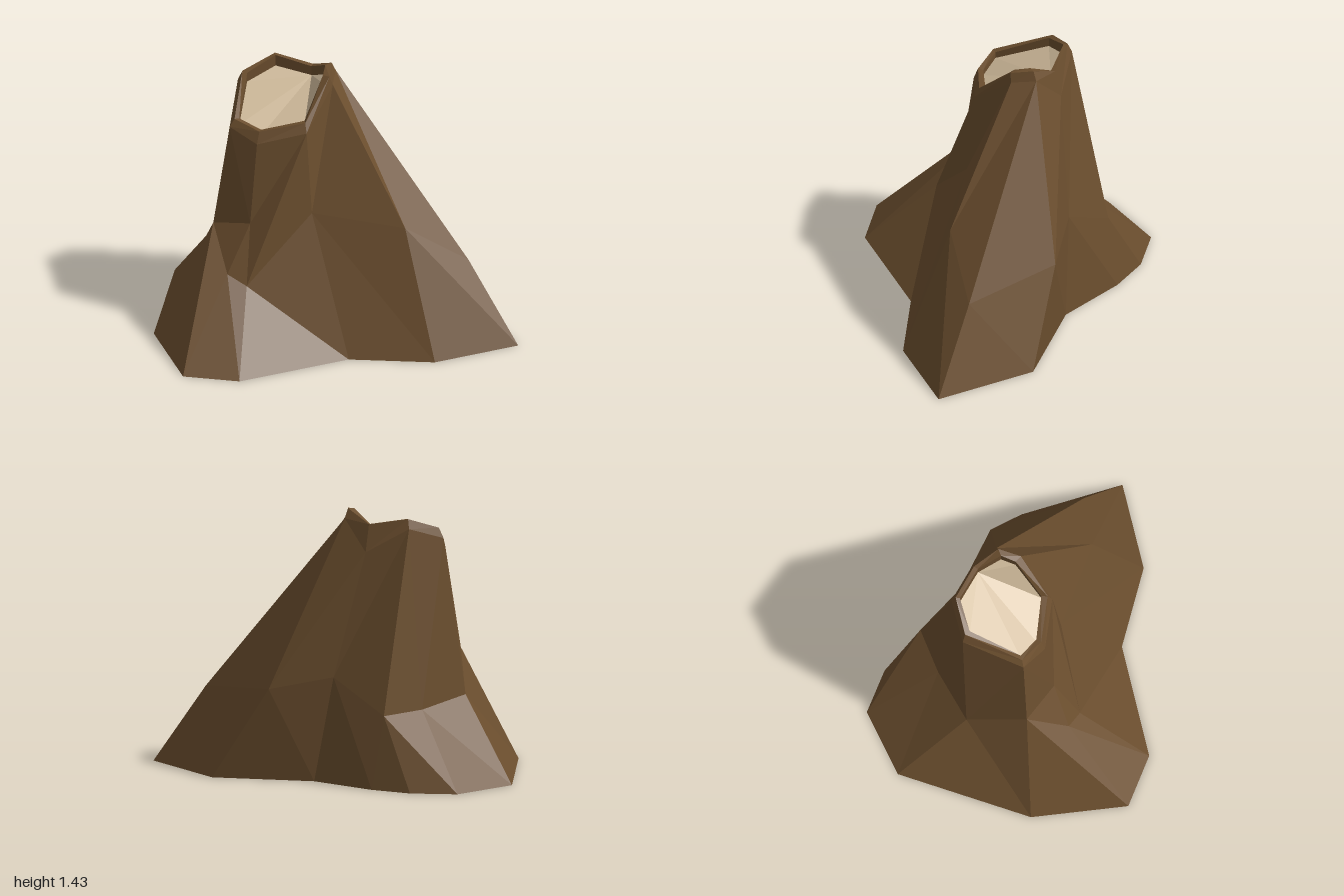
import * as THREE from 'three';

const bark = new THREE.MeshStandardMaterial({ color: 0x6b4e2e });
bark.name = 'bark brown';
const wood = new THREE.MeshStandardMaterial({ color: 0xcdb899 });
wood.name = 'cut wood';

// Flat-faceted mesh from a list of triangles (unshared corners, empty ones dropped)
function facetMesh(name, tris, material) {
  const pos = [];
  const same = (p, q) => p.every((v, i) => v === q[i]);
  for (const [a, b, c] of tris) {
    if (same(a, b) || same(b, c) || same(a, c)) continue;
    pos.push(...a, ...b, ...c);
  }
  const g = new THREE.BufferGeometry();
  g.setAttribute('position', new THREE.Float32BufferAttribute(pos, 3));
  g.computeVertexNormals();
  const m = new THREE.Mesh(g, material);
  m.name = name;
  return m;
}

// Triangles joining two closed rings; rising picks which way the quads are split
function band(lo, hi, rising) {
  return lo.flatMap((a0, i) => {
    const j = (i + 1) % lo.length;
    const a1 = hi[i], b0 = lo[j], b1 = hi[j];
    return rising ? [[a0, a1, b1], [a0, b1, b0]] : [[a0, a1, b0], [a1, b1, b0]];
  });
}

export function createModel() {
  const group = new THREE.Group();
  group.name = 'treeStump';

  // Shoulder below the broken rim
  const shoulder = [
    [-0.075, 1.38, -0.33], [-0.045, 1.36, -0.2], [-0.11, 1.17, 0.03], [-0.355, 1.11, 0.125],
    [-0.52, 1.17, 0.09], [-0.59, 1.28, -0.24], [-0.44, 1.35, -0.395], [-0.21, 1.22, -0.42],
  ];
  // Top edge of the rim
  const rim = [
    [-0.09, 1.43, -0.31], [-0.06, 1.41, -0.19], [-0.125, 1.22, 0.01], [-0.35, 1.175, 0.1],
    [-0.5, 1.21, 0.07], [-0.565, 1.335, -0.24], [-0.43, 1.4, -0.375], [-0.22, 1.365, -0.385],
  ];
  // Slanted cut inside the rim
  const cut = [
    [-0.115, 1.37, -0.28], [-0.1, 1.36, -0.2], [-0.14, 1.19, -0.02], [-0.35, 1.14, 0.07],
    [-0.48, 1.17, 0.05], [-0.535, 1.28, -0.23], [-0.42, 1.335, -0.355], [-0.22, 1.31, -0.36],
  ];
  const lip = cut.map(([x, , z], i) => [x, rim[i][1] - 0.003, z]);

  // Trunk columns: ground point, knee point, shoulder index, optional crease point
  const notch = [-0.37, 0.67, 0.19];
  const columns = [
    [[1, -0.18], [0.7, 0.43, -0.24], 0],
    [[0.65, 0.15], [0.42, 0.67, -0.03], 1],
    [[0.21, 0.27], [-0.07, 0.72, 0.06], 2],
    [[-0.25, 0.7], [-0.34, 0.37, 0.33], 2],
    [[-0.25, 0.7], [-0.34, 0.37, 0.33], 3, notch],
    [[-0.55, 0.745], [-0.45, 0.42, 0.325], 4, notch],
    [[-0.86, 0.33], [-0.59, 0.62, 0.15], 4],
    [[-1, -0.4], [-0.69, 0.43, -0.16], 5],
    [[-0.78, -0.715], [-0.52, 0.39, -0.43], 6],
    [[-0.53, -0.75], [-0.36, 0.385, -0.63], 6],
    [[-0.31, -0.7], [-0.36, 0.385, -0.63], 6],
    [[0.04, -0.54], [-0.06, 0.56, -0.52], 7],
    [[0.59, -0.56], [0.28, 0.49, -0.57], 0],
  ];
  const ground = columns.map(([g]) => [g[0], 0, g[1]]);
  const knee = columns.map((c) => c[1]);
  const crease = columns.map((c) => c[3] || c[1]);
  const top = columns.map((c) => shoulder[c[2]]);
  group.add(facetMesh('roots', band(ground, knee, true), bark));
  group.add(facetMesh('trunk', [...band(knee, crease, false), ...band(crease, top, false)], bark));

  // Broken rim with its inner wall
  const rimRings = [shoulder, rim, lip, cut];
  group.add(facetMesh('rim',
    [0, 1, 2].flatMap((i) => band(rimRings[i], rimRings[i + 1], false)), bark));

  // Flat underside
  const centre = [-0.25, 0, -0.1];
  group.add(facetMesh('underside',
    ground.map((a, i) => [centre, a, ground[(i + 1) % ground.length]]), bark));

  // Cut face: broad slanted plane plus a raised splinter on one side
  const face = [];
  for (let i = 2; i < 6; i++) face.push([cut[7], cut[i + 1], cut[i]]);
  face.push([cut[7], cut[2], cut[1]], [cut[7], cut[1], cut[0]]);
  group.add(facetMesh('cutFace', face, wood));

  return group;
}
